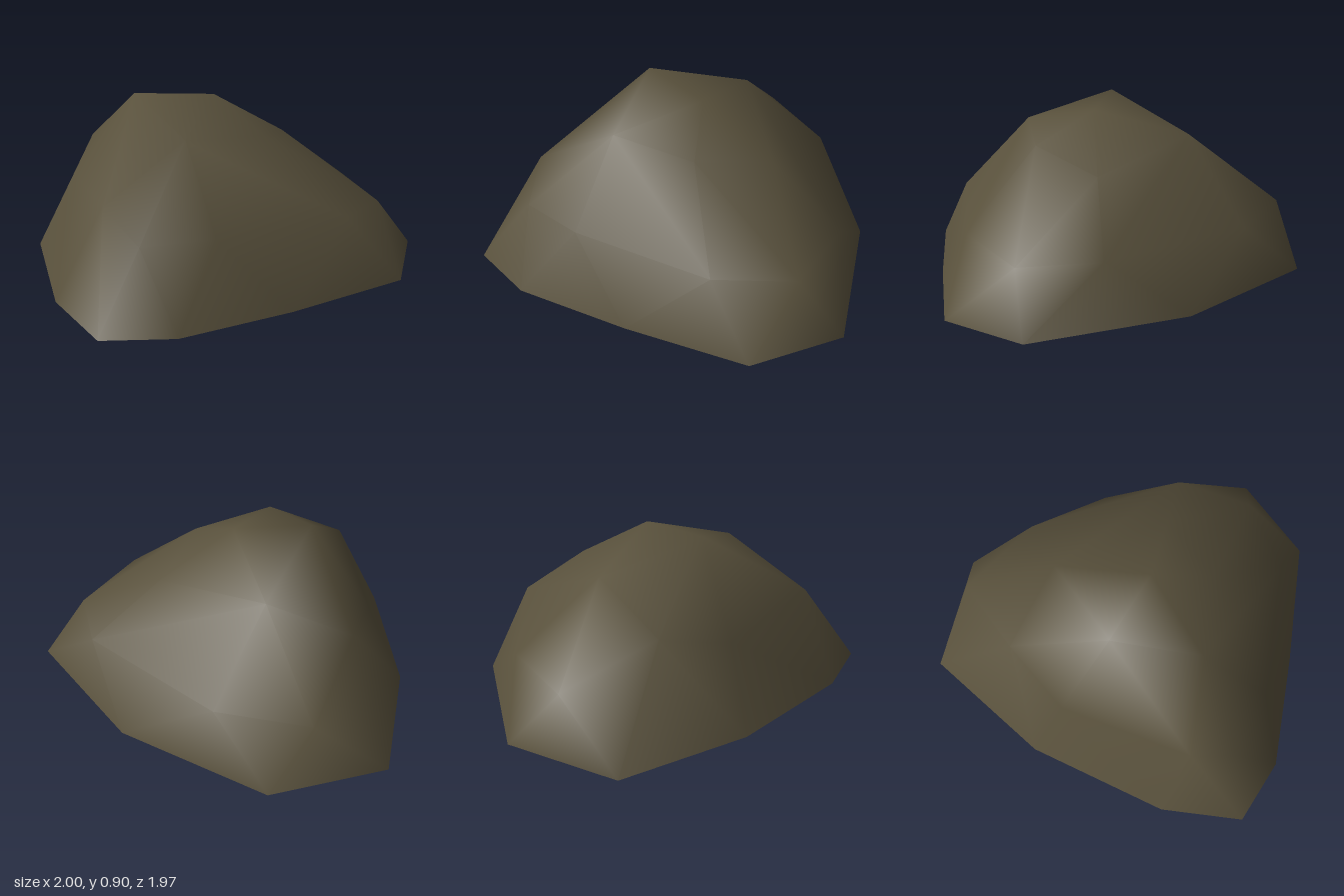
import * as THREE from 'three';
import { ConvexGeometry } from 'three/addons/geometries/ConvexGeometry.js';
import { mergeVertices } from 'three/addons/utils/BufferGeometryUtils.js';

// Ground outline of the boulder
const rim = [
  [-0.45, 0.02, -0.985], [0.19, 0.02, -0.96], [0.76, 0.025, -0.29], [1, 0.025, 0.53], [0.67, 0.01, 0.91],
  [0, 0, 0.96], [-0.62, 0.01, 0.98], [-0.96, 0.02, 0.85], [-1, 0.035, 0.41], [-0.82, 0.03, -0.34],
];
// Shoulder corners, around the middle height
const shoulder = [
  [-0.07, 0.33, -0.89], [0.36, 0.33, -0.62], [0.8, 0.34, 0.14], [0.76, 0.31, 0.56], [0.4, 0.36, 0.8],
  [-0.35, 0.39, 0.83], [-0.7, 0.38, 0.74], [-0.78, 0.51, 0.5], [-0.66, 0.45, -0.2], [-0.42, 0.55, -0.53],
];
// Crown corners
const crown = [
  [-0.39, 0.905, 0], [0, 0.885, 0.13], [-0.33, 0.77, 0.47],
  [0.12, 0.73, 0.44], [0.41, 0.64, 0.14], [0, 0.74, -0.38],
];

// Convex skin over the corners, with the underside left open and smooth normals
function openShell(points) {
  const hull = new ConvexGeometry(points.map((p) => new THREE.Vector3(...p)));
  const pos = hull.getAttribute('position');
  const tri = new THREE.Triangle();
  const normal = new THREE.Vector3();
  const kept = [];
  for (let i = 0; i < pos.count; i += 3) {
    tri.setFromAttributeAndIndices(pos, i, i + 1, i + 2);
    tri.getNormal(normal);
    if (normal.y > -0.7) for (const v of [tri.a, tri.b, tri.c]) kept.push(v.x, v.y, v.z);
  }
  const shell = new THREE.BufferGeometry();
  shell.setAttribute('position', new THREE.Float32BufferAttribute(kept, 3));
  const smooth = mergeVertices(shell);
  smooth.computeVertexNormals();
  return smooth;
}

export function createModel() {
  const group = new THREE.Group();
  group.name = 'boulder';
  const stone = new THREE.MeshStandardMaterial({ color: 0x59513c, side: THREE.DoubleSide });
  stone.name = 'brown stone';
  const rock = new THREE.Mesh(openShell([...rim, ...shoulder, ...crown]), stone);
  rock.name = 'rockShell';
  group.add(rock);
  return group;
}
